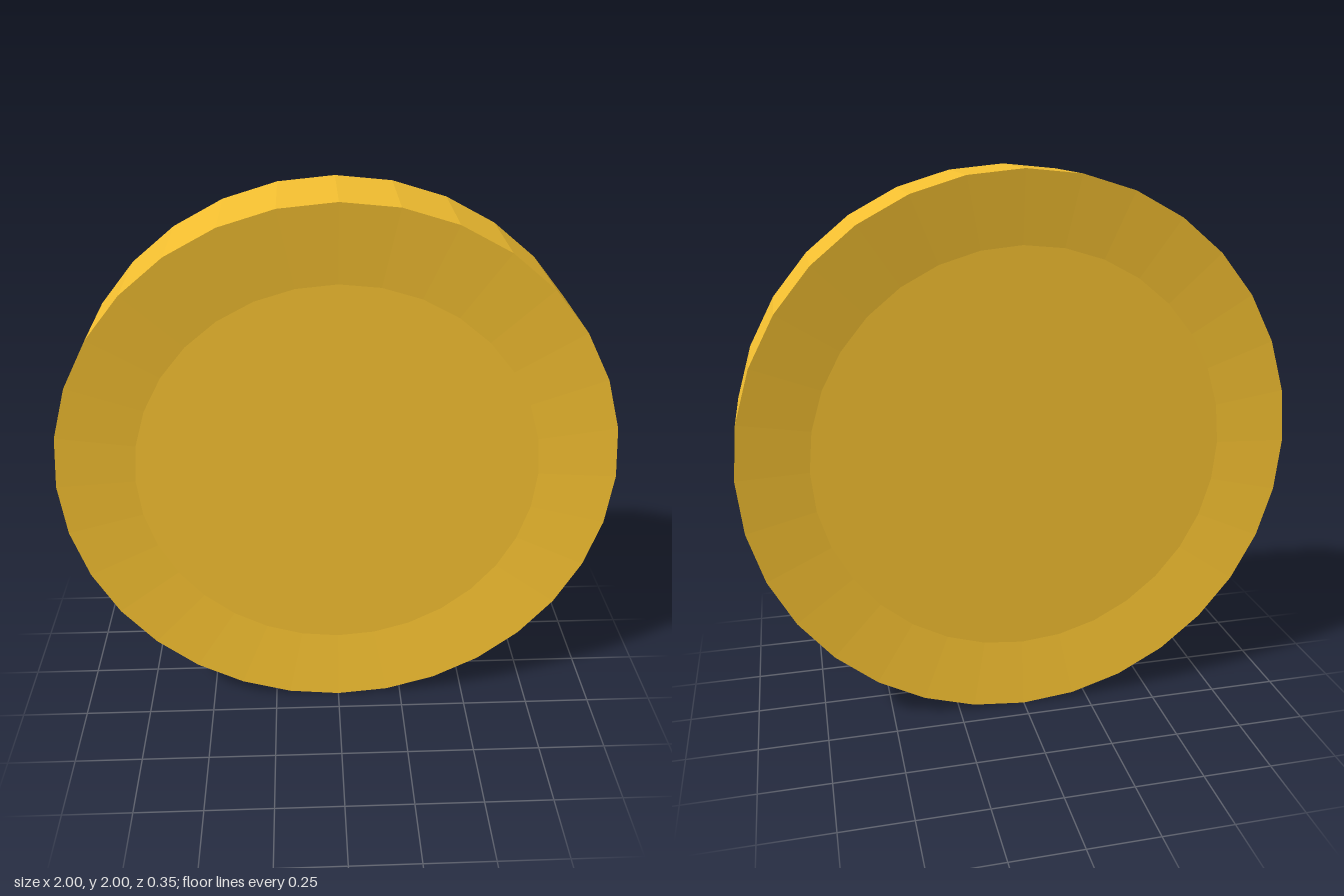
import * as THREE from 'three';

const SIDES = 32;
const RADIUS = 1;
const HALF = 0.173;   // half the thickness
const DISH = 0.031;   // depth of the recess on each face
const FRONT_INNER = 0.725;
const BACK_INNER = 0.75;

export function createModel() {
  const group = new THREE.Group();
  group.name = 'coin';

  const gold = new THREE.MeshStandardMaterial({ color: 0xf2be30, flatShading: true });

  // Each part is a faceted ring or disc turned about the z axis; profile pairs are [radius, z]
  const addTurned = (name, profile) => {
    const points = profile.map(([r, z]) => new THREE.Vector2(r, z));
    const geometry = new THREE.LatheGeometry(points, SIDES);
    geometry.rotateX(Math.PI / 2);
    const mesh = new THREE.Mesh(geometry, gold);
    mesh.name = name;
    mesh.position.y = RADIUS;
    group.add(mesh);
  };

  // Flat recessed centre and sloping rim on the back
  addTurned('backCentre', [[0, -HALF + DISH], [BACK_INNER, -HALF + DISH]]);
  addTurned('backRim', [[BACK_INNER, -HALF + DISH], [RADIUS, -HALF]]);

  // Outer edge
  addTurned('edge', [[RADIUS, -HALF], [RADIUS, HALF]]);

  // Sloping rim and flat recessed centre on the front
  addTurned('frontRim', [[RADIUS, HALF], [FRONT_INNER, HALF - DISH]]);
  addTurned('frontCentre', [[FRONT_INNER, HALF - DISH], [0, HALF - DISH]]);

  return group;
}
